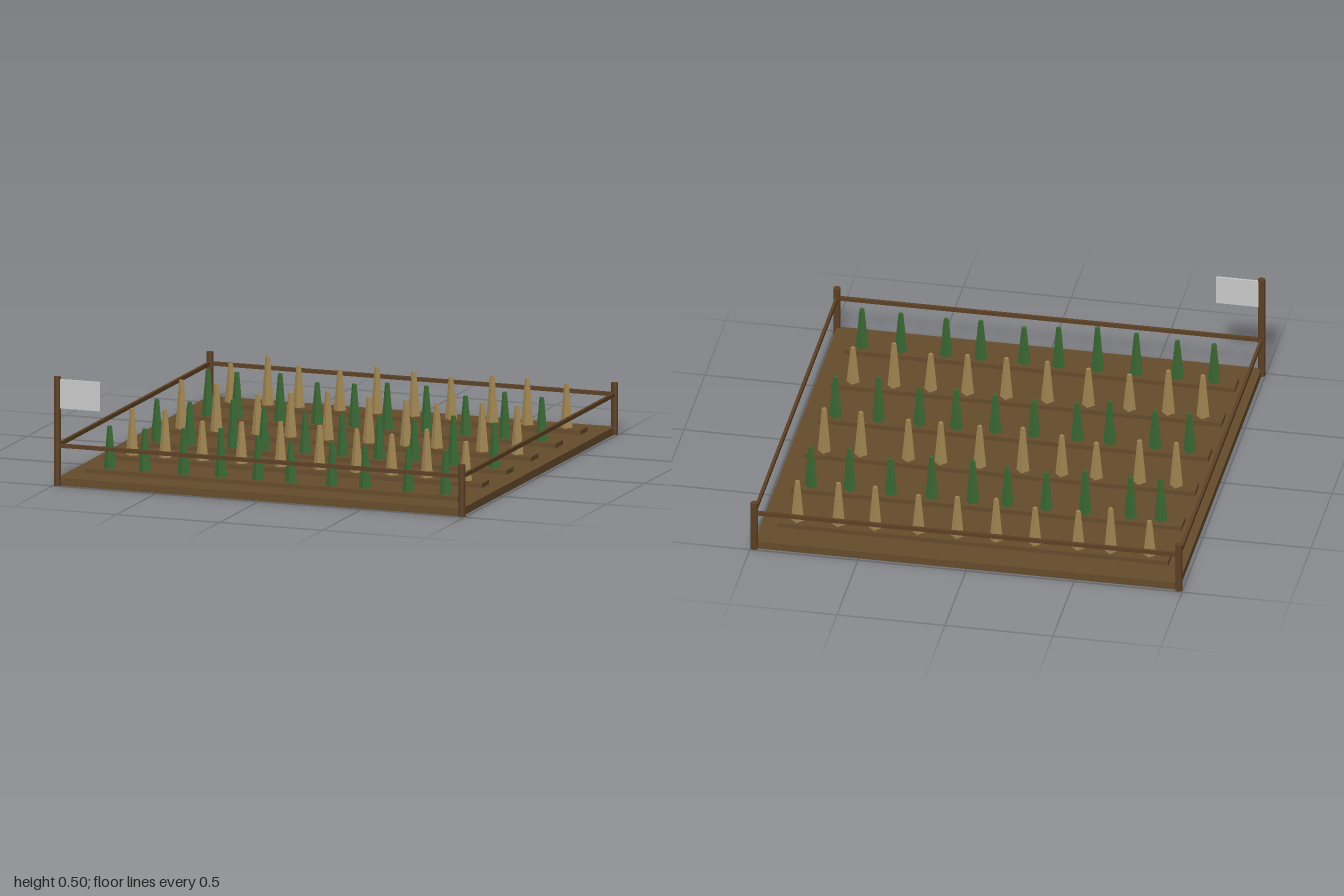
import * as THREE from 'three';

const flat = (name, color) => {
  const m = new THREE.MeshStandardMaterial({ color });
  m.name = name;
  m.flatShading = true;
  return m;
};

// Plant positions along x, one list per row from back to front
const ROWS = [
  [-0.81, -0.63, -0.48, -0.28, -0.10, 0.08, 0.26, 0.46, 0.63, 0.82],
  [-0.80, -0.66, -0.45, -0.27, -0.09, 0.07, 0.26, 0.45, 0.64, 0.82],
  [-0.81, -0.64, -0.44, -0.28, -0.10, 0.10, 0.28, 0.43, 0.65, 0.82],
  [-0.81, -0.65, -0.44, -0.29, -0.09, 0.09, 0.27, 0.44, 0.63, 0.83],
  [-0.81, -0.65, -0.47, -0.28, -0.09, 0.10, 0.28, 0.45, 0.62, 0.81],
  [-0.80, -0.63, -0.44, -0.26, -0.08, 0.08, 0.28, 0.44, 0.65, 0.83],
];

export function createModel() {
  const model = new THREE.Group();
  model.name = 'fencedField';
  const soil = flat('soil brown', 0x654b2b);
  const wood = flat('wood brown', 0x5c4024);
  const green = flat('crop green', 0x3c6b35);
  const straw = flat('straw tan', 0xa68a54);
  const grey = flat('sign grey', 0xc8c8c8);

  const add = (parent, name, geo, mat, x, y, z) => {
    const mesh = new THREE.Mesh(geo, mat);
    mesh.name = name;
    mesh.position.set(x, y, z);
    parent.add(mesh);
    return mesh;
  };
  let seed = 7;
  const random = () => (seed = (seed * 16807) % 2147483647) / 2147483647;

  // Ground slab
  const edge = 0.983;
  add(model, 'ground', new THREE.BoxGeometry(2 * edge, 0.036, 2 * edge), soil, 0, 0.018, 0);

  // Planting ridges, each with a row of four-sided tapered stalks
  ROWS.forEach((xs, i) => {
    const row = new THREE.Group();
    row.name = 'cropRow' + (i + 1);
    row.position.z = (i - 2.5) * 0.317;
    model.add(row);
    add(row, 'ridge', new THREE.BoxGeometry(1.81, 0.024, 0.092), soil, 0, 0.045, 0);
    for (const x of xs) {
      const h = 0.18 + 0.05 * random();
      add(row, 'plant', new THREE.CylinderGeometry(0.011, 0.03, h, 4),
        i % 2 ? green : straw, x, 0.055 + h / 2, 0);
    }
  });

  // Corner posts; the front right one is tall and carries the sign
  for (const sx of [-1, 1]) {
    for (const sz of [-1, 1]) {
      const h = sx < 0 && sz > 0 ? 0.505 : 0.24;
      add(model, 'post', new THREE.CylinderGeometry(0.017, 0.017, h, 8), wood, sx * edge, h / 2, sz * edge);
    }
  }

  // Fence rails on all four sides
  for (const s of [-1, 1]) {
    add(model, 'railAcross', new THREE.BoxGeometry(2 * edge, 0.018, 0.014), wood, 0, 0.186, s * edge);
    add(model, 'railAlong', new THREE.BoxGeometry(0.014, 0.018, 2 * edge), wood, s * edge, 0.186, 0);
  }

  // Blank sign board
  add(model, 'sign', new THREE.BoxGeometry(0.2, 0.135, 0.01), grey, -0.873, 0.427, edge);

  return model;
}
